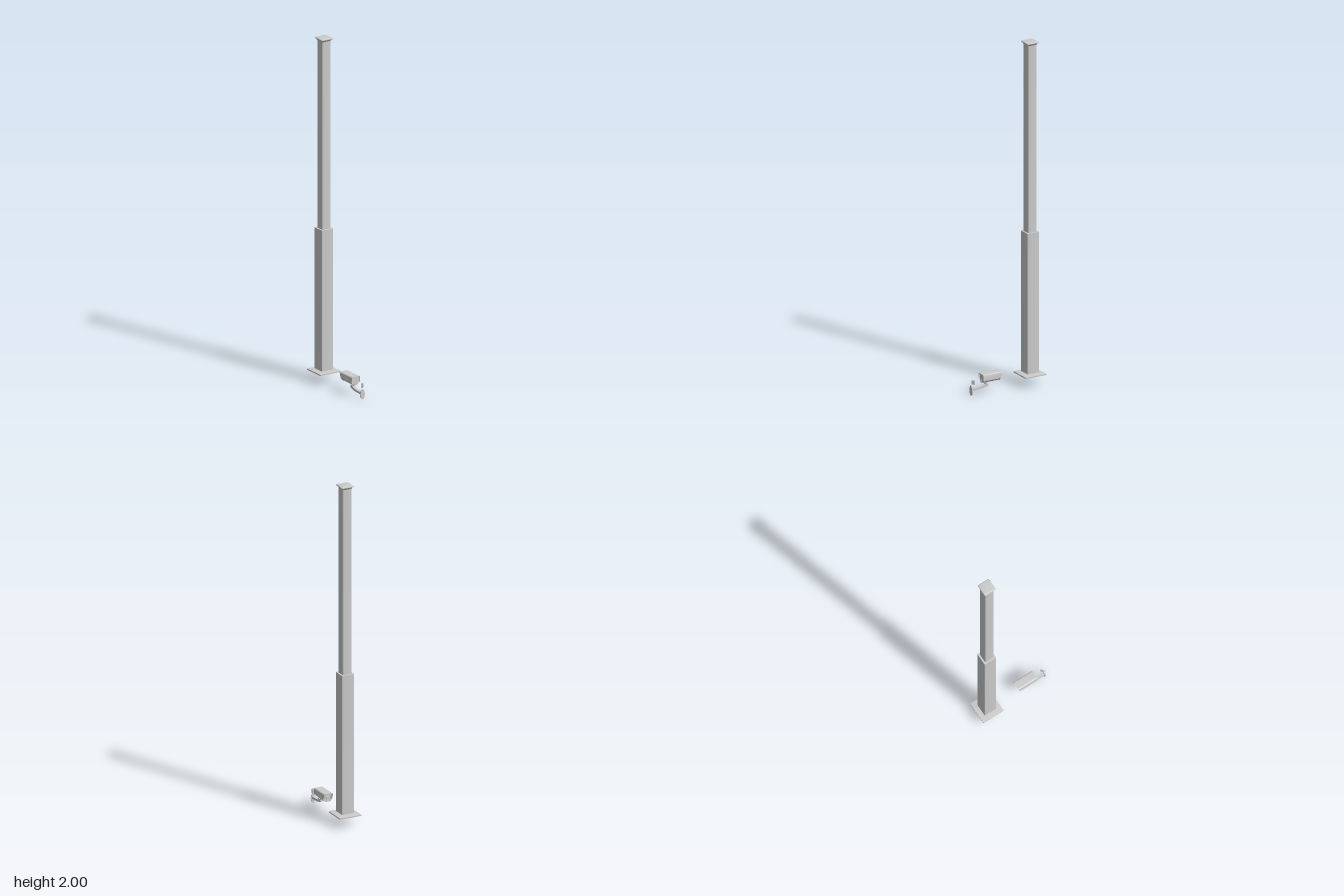
import * as THREE from 'three';
import { toCreasedNormals } from 'three/addons/utils/BufferGeometryUtils.js';

const material = new THREE.MeshStandardMaterial({ color: 0xcccccc, side: THREE.DoubleSide });

function add(parent, name, geometry, x = 0, y = 0, z = 0) {
  const mesh = new THREE.Mesh(geometry, material);
  mesh.name = name;
  mesh.position.set(x, y, z);
  parent.add(mesh);
  return mesh;
}

// Square tube with rounded corners, swept through rings of [half width, corner radius, height]
function squareLoft(rings) {
  const positions = [], index = [], steps = 4, n = 4 * (steps + 1);
  for (const [half, radius, y] of rings) {
    for (let corner = 0; corner < 4; corner++) {
      const mid = (corner + 0.5) * Math.PI / 2;
      const cx = Math.sign(Math.cos(mid)) * (half - radius);
      const cz = Math.sign(Math.sin(mid)) * (half - radius);
      for (let s = 0; s <= steps; s++) {
        const a = (corner + s / steps) * Math.PI / 2;
        positions.push(cx + radius * Math.cos(a), y, cz + radius * Math.sin(a));
      }
    }
  }
  for (let r = 0; r < rings.length - 1; r++) {
    for (let i = 0; i < n; i++) {
      const a = r * n + i, b = r * n + (i + 1) % n;
      index.push(a, a + n, b, b, a + n, b + n);
    }
  }
  const g = new THREE.BufferGeometry();
  g.setAttribute('position', new THREE.Float32BufferAttribute(positions, 3));
  g.setIndex(index);
  return toCreasedNormals(g, 0.5);
}

// Outline in (x, y) extruded along z from z0 to z1
function prism(shape, z0, z1) {
  const g = new THREE.ExtrudeGeometry(shape, { depth: z1 - z0, bevelEnabled: false, curveSegments: 8 });
  g.translate(0, 0, z0);
  return toCreasedNormals(g, 0.5);
}

// Outline in (z, y) extruded across x, centred
function sideProfile(points, width) {
  const shape = new THREE.Shape(points.map(([z, y]) => new THREE.Vector2(-z, y)));
  const g = new THREE.ExtrudeGeometry(shape, { depth: width, bevelEnabled: false });
  g.translate(0, 0, -width / 2);
  g.rotateY(Math.PI / 2);
  return toCreasedNormals(g, 0.5);
}

// Housing outline: straight sides with a rounded top and chamfered bottom
function housingShape(half, bottom, top, radius) {
  const s = new THREE.Shape();
  s.moveTo(-half + 0.007, bottom);
  s.lineTo(half - 0.007, bottom);
  s.lineTo(half, bottom + 0.009);
  s.lineTo(half, top - radius);
  s.quadraticCurveTo(half, top, half - radius, top);
  s.lineTo(-half + radius, top);
  s.quadraticCurveTo(-half, top, -half, top - radius);
  s.lineTo(-half, bottom + 0.009);
  s.closePath();
  return s;
}

function createPole() {
  const pole = new THREE.Group();
  pole.name = 'pole';
  pole.position.z = -0.158;
  add(pole, 'basePlate', squareLoft([
    [0.034, 0.003, 0.06], [0.067, 0.002, 0.06], [0.067, 0.002, 0.067],
    [0.038, 0.003, 0.073], [0.034, 0.003, 0.073], [0.034, 0.003, 0.06]]));
  add(pole, 'lowerPost', squareLoft([
    [0.034, 0.003, 0.06], [0.038, 0.004, 0.06], [0.038, 0.004, 0.892],
    [0.027, 0.004, 0.892]]));
  add(pole, 'lowerPostInside', squareLoft([
    [0.034, 0.003, 0.885], [0.034, 0.003, 0.06]]));
  add(pole, 'upperPost', squareLoft([
    [0.028, 0.006, 0.87], [0.028, 0.006, 1.99]]));
  add(pole, 'cap', squareLoft([
    [0.028, 0.006, 1.982], [0.033, 0.009, 1.99], [0.037, 0.004, 1.993],
    [0.037, 0.004, 1.997], [0.034, 0.009, 2], [0.0001, 0.0001, 2]]));
  return pole;
}

function createCamera() {
  const camera = new THREE.Group();
  camera.name = 'camera';

  // Housing under a sunshield that overhangs the lens end
  add(camera, 'housing', prism(housingShape(0.0225, 0.067, 0.109, 0.008), 0.05, 0.152));
  const hood = new THREE.Shape();
  hood.moveTo(-0.027, 0.08);
  hood.lineTo(-0.027, 0.106);
  hood.quadraticCurveTo(-0.027, 0.114, -0.019, 0.114);
  hood.lineTo(0.019, 0.114);
  hood.quadraticCurveTo(0.027, 0.114, 0.027, 0.106);
  hood.lineTo(0.027, 0.08);
  hood.lineTo(0.0245, 0.08);
  hood.lineTo(0.0245, 0.105);
  hood.quadraticCurveTo(0.0245, 0.1115, 0.018, 0.1115);
  hood.lineTo(-0.018, 0.1115);
  hood.quadraticCurveTo(-0.0245, 0.1115, -0.0245, 0.105);
  hood.lineTo(-0.0245, 0.08);
  const hoodGeometry = prism(hood, 0.035, 0.158);
  // Slant the lens end of the hood
  const p = hoodGeometry.attributes.position;
  for (let i = 0; i < p.count; i++) {
    if (p.getZ(i) < 0.05) p.setZ(i, 0.035 + (0.114 - p.getY(i)) * 0.3);
  }
  add(camera, 'sunshield', toCreasedNormals(hoodGeometry, 0.5));
  for (const side of [-1, 1]) {
    add(camera, 'sideRail', new THREE.BoxGeometry(0.005, 0.009, 0.108), side * 0.0255, 0.085, 0.102);
  }

  // Lens end
  const frame = housingShape(0.0235, 0.066, 0.11, 0.008);
  const opening = new THREE.Path();
  opening.absellipse(0, 0.088, 0.017, 0.016, 0, Math.PI * 2);
  frame.holes.push(opening);
  add(camera, 'lensFrame', prism(frame, 0.045, 0.051));
  const lens = new THREE.CylinderGeometry(0.009, 0.011, 0.005, 20).rotateX(-Math.PI / 2);
  add(camera, 'lens', lens, 0, 0.088, 0.049);

  // Rear cable gland
  add(camera, 'cableGland', new THREE.CylinderGeometry(0.003, 0.003, 0.008, 12).rotateX(Math.PI / 2), 0, 0.078, 0.155);

  // Swivel joint and arm
  add(camera, 'mountFoot', new THREE.BoxGeometry(0.02, 0.005, 0.04), 0, 0.065, 0.135);
  add(camera, 'swivel', new THREE.CylinderGeometry(0.009, 0.009, 0.02, 16), 0, 0.054, 0.126);
  add(camera, 'swivelPin', new THREE.CylinderGeometry(0.006, 0.006, 0.026, 12).rotateZ(Math.PI / 2), 0, 0.058, 0.13);
  add(camera, 'arm', sideProfile([
    [0.22, 0.026], [0.22, 0.041], [0.195, 0.04], [0.155, 0.044], [0.135, 0.051],
    [0.116, 0.051], [0.116, 0.042], [0.132, 0.037], [0.16, 0.031], [0.195, 0.029]], 0.019));

  // Oval wall plate
  const oval = new THREE.Shape();
  oval.absellipse(0, 0.029, 0.014, 0.029, 0, Math.PI * 2);
  add(camera, 'wallPlate', prism(oval, 0.218, 0.2235));

  // Loose cable clip above the plate: a bent strip
  const bend = new THREE.Shape();
  [[0, 0.222], [0, 0.211], [0.012, 0.211], [0.014, 0.207], [0.008, 0.202],
    [0.009, 0.2005], [0.016, 0.207], [0.013, 0.213], [0.002, 0.213], [0.002, 0.222]]
    .forEach(([x, z], i) => (i ? bend.lineTo(x, -z) : bend.moveTo(x, -z)));
  const clip = new THREE.ExtrudeGeometry(bend, { depth: 0.024, bevelEnabled: false }).rotateX(-Math.PI / 2);
  add(camera, 'cableClip', clip, 0, 0.064, 0);
  return camera;
}

export function createModel() {
  const model = new THREE.Group();
  model.name = 'cameraPole';
  model.add(createPole(), createCamera());
  return model;
}
